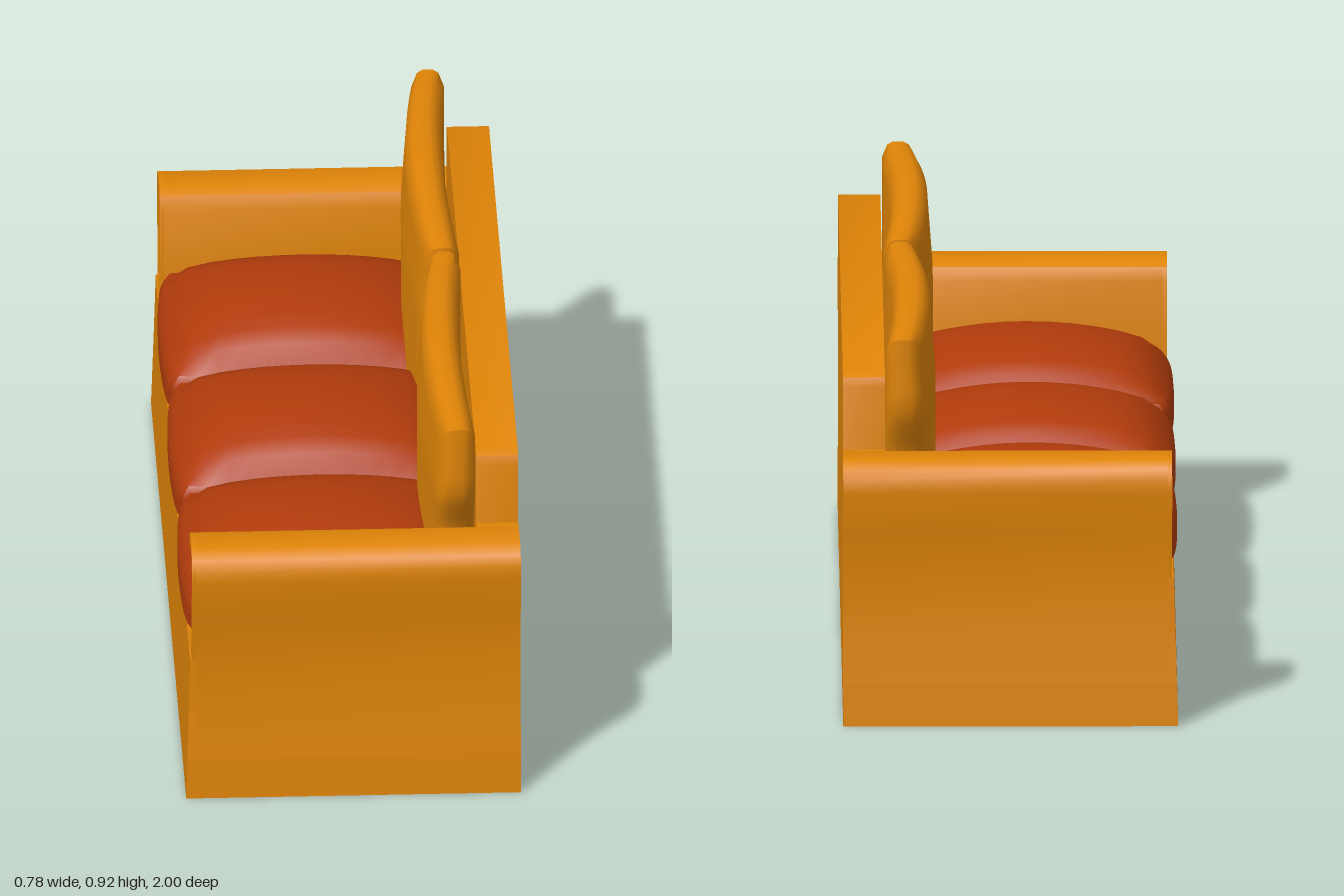
import * as THREE from 'three';
import { mergeVertices, toCreasedNormals } from 'three/addons/utils/BufferGeometryUtils.js';

const fabric = new THREE.MeshStandardMaterial({ color: 0xdf8408 });
fabric.name = 'mustard fabric';
const seatFabric = new THREE.MeshStandardMaterial({ color: 0xb03b0b });
seatFabric.name = 'rust fabric';

// Shape from [z, y] points; after rotation the extrusion runs along +x
const outline = (pts) => new THREE.Shape(pts.map(([z, y]) => new THREE.Vector2(-z, y)));

function extrudeX(shape, x0, x1) {
  const g = new THREE.ExtrudeGeometry(shape, { depth: x1 - x0, bevelEnabled: false });
  g.rotateY(Math.PI / 2);
  g.translate(x0, 0, 0);
  return toCreasedNormals(g, 0.7);
}

// Moves every vertex of a geometry with a rule(v)
function deform(g, rule) {
  const p = g.attributes.position, v = new THREE.Vector3();
  for (let i = 0; i < p.count; i++) {
    v.fromBufferAttribute(p, i);
    rule(v);
    p.setXYZ(i, v.x, v.y, v.z);
  }
  g.computeVertexNormals();
  return g;
}

// Subdivided cube from -1 to 1 with shared corners, shaped by a rule
function softBlock(nx, ny, nz, rule) {
  let g = new THREE.BoxGeometry(2, 2, 2, nx, ny, nz);
  g.deleteAttribute('uv');
  g.deleteAttribute('normal');
  g = mergeVertices(g);
  return toCreasedNormals(deform(g, rule), 1.0);
}

function seatCushion(zc) {
  return softBlock(12, 4, 12, (v) => {
    const { x: u, y: t, z: w } = v;
    const dome = Math.pow(Math.max(0, (1 - u * u) * (1 - w * w)), 0.5);
    const top = 0.435 + 0.112 * dome;
    const round = t > 0 ? 1 - 0.045 * t * t * t : 1;
    // Slightly rounded corners in plan, front bowed outwards
    const corner = 1 - 0.03 * Math.pow(Math.abs(u * w), 8);
    const bow = u < 0 ? 0.012 * u * (1 - w * w) : 0;
    v.x = -0.048 + 0.33 * u * round * corner + bow;
    v.z = zc + 0.276 * w * (0.3 + 0.7 * round) * corner;
    v.y = 0.35 + (top - 0.35) * (t + 1) / 2;
  });
}

function backCushion(side) {
  return softBlock(6, 12, 12, (v) => {
    const { x: u, y: t, z: w } = v;
    const edge = 0.03 * Math.pow(Math.abs(u), 4);
    const bow = 1 - w * w;
    const top = 0.907 + 0.015 * bow - edge;
    const y = 0.4 + (top - 0.4) * (t + 1) / 2;
    // Outer end tucks in above the arm, inner end meets the neighbour
    const k = THREE.MathUtils.clamp((y - 0.6) / 0.13, 0, 1);
    const out = side * w > 0 ? 0.835 + 0.077 * k : 0.912;
    const half = side * w > 0 ? out - 0.46 : 0.452;
    const shrink = 1 - edge / 0.45;
    v.z = side * 0.46 + w * half * shrink;
    const lean = 0.013 * THREE.MathUtils.clamp((y - 0.72) / 0.18, 0, 1);
    const front = 0.2 - 0.028 * bow + lean;
    const back = 0.288 - 0.02 * bow * THREE.MathUtils.clamp((y - 0.6) / 0.3, 0, 1);
    v.x = front + (back - front) * (u + 1) / 2;
    v.y = y;
  });
}

export function createModel() {
  const sofa = new THREE.Group();
  sofa.name = 'sofa';
  const add = (name, geometry, material = fabric) => {
    const m = new THREE.Mesh(geometry, material);
    m.name = name;
    sofa.add(m);
  };

  // Open skirt around the hollow underside, tapering upwards
  const plan = new THREE.Shape([[-0.39, -1], [0.39, -1], [0.39, 1], [-0.39, 1]].map((p) => new THREE.Vector2(...p)));
  plan.holes.push(new THREE.Path([[-0.37, -0.975], [-0.37, 0.975], [0.375, 0.975], [0.375, -0.975]].map((p) => new THREE.Vector2(...p))));
  const skirt = new THREE.ExtrudeGeometry(plan, { depth: 0.1, bevelEnabled: false });
  skirt.rotateX(-Math.PI / 2);
  add('skirt', deform(skirt, (v) => {
    if (v.y > 0.05) {
      v.z *= 0.993;
      if (v.x < 0) v.x += 0.003;
    }
  }));

  // Seat base, whose lower face closes the hollow
  const base = new THREE.BoxGeometry(0.745, 0.25, 1.94);
  base.translate(0.0025, 0.225, 0);
  add('seatBase', base);

  // Leaning front panel
  const panel = extrudeX(outline([[-0.993, 0.1], [0.993, 0.1], [0.981, 0.22], [0.975, 0.35],
    [-0.975, 0.35], [-0.981, 0.22]]), -0.387, -0.367);
  add('frontPanel', deform(panel, (v) => {
    if (v.x < -0.37) v.x += 0.028 * (v.y - 0.1);
  }));

  // Backrest
  add('backrest', extrudeX(outline([
    [-0.84, 0.1], [0.84, 0.1], [0.84, 0.775], [0.832, 0.797], [0.81, 0.806],
    [-0.81, 0.806], [-0.832, 0.797], [-0.84, 0.775],
  ]), 0.292, 0.39));

  for (const s of [1, -1]) {
    const side = s > 0 ? 'left' : 'right';
    const mirror = (pts) => pts.map(([z, y]) => [s * z, y]);

    // Rolled arm
    const roll = [[0.975, 0.35], [0.985, 0.46], [0.998, 0.56], [0.997, 0.59], [0.985, 0.615], [0.955, 0.631],
      [0.875, 0.631], [0.85, 0.62], [0.836, 0.59], [0.836, 0.35]];
    add(side + 'Arm', extrudeX(outline(mirror([[0.836, 0.1], [0.993, 0.1], [0.981, 0.22], ...roll])), -0.367, 0.39));

    // Raised border on the front of the arm
    const border = outline(mirror(roll));
    border.holes.push(new THREE.Path(mirror([[0.856, 0.365], [0.957, 0.365], [0.967, 0.47], [0.976, 0.57],
      [0.963, 0.6], [0.94, 0.61], [0.89, 0.61], [0.866, 0.6], [0.856, 0.58]]).map(([z, y]) => new THREE.Vector2(-z, y))));
    add(side + 'ArmBorder', extrudeX(border, -0.376, -0.367));

    // Corner filler between arm and backrest
    const filler = new THREE.BoxGeometry(0.098, 0.25, 0.05);
    filler.translate(0.341, 0.5, s * 0.85);
    add(side + 'BackCorner', filler);

    add(side + 'BackCushion', backCushion(s));
  }

  // Three puffed seat cushions
  [-0.556, 0, 0.556].forEach((z, i) => add('seatCushion' + (i + 1), seatCushion(z), seatFabric));

  return sofa;
}
